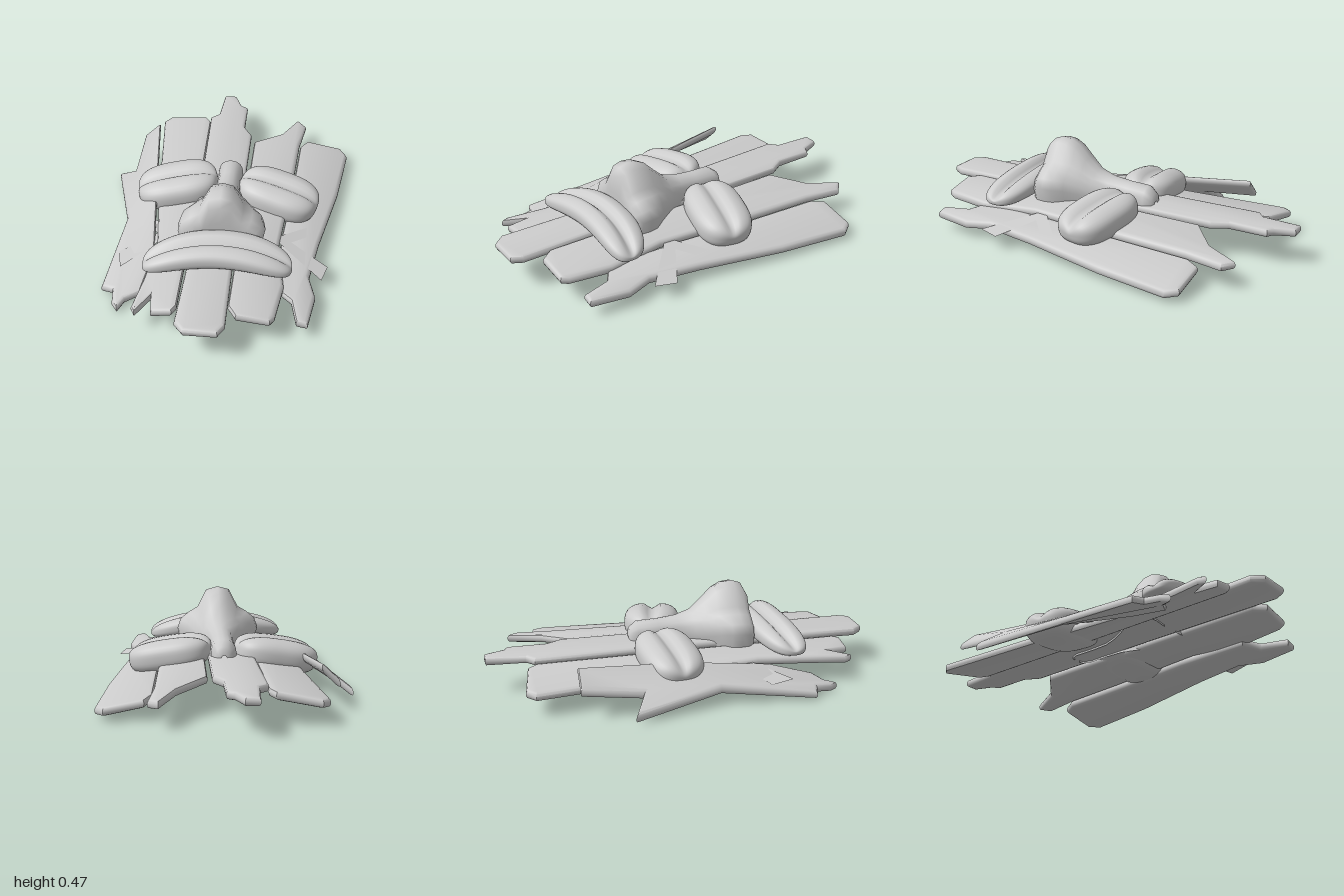
import * as THREE from 'three';
import { mergeVertices, toCreasedNormals } from 'three/addons/utils/BufferGeometryUtils.js';

const material = new THREE.MeshStandardMaterial({ color: 0xcccccc, side: THREE.DoubleSide });

// Apply a rule to every vertex of a geometry
function deform(geo, rule) {
  const pos = geo.attributes.position;
  const v = new THREE.Vector3();
  for (let i = 0; i < pos.count; i++) {
    rule(v.fromBufferAttribute(pos, i));
    pos.setXYZ(i, v.x, v.y, v.z);
  }
  return geo;
}

// Join seams and recompute soft normals
function smooth(geo) {
  geo.deleteAttribute('uv');
  geo.deleteAttribute('normal');
  const g = mergeVertices(geo, 1e-4);
  g.computeVertexNormals();
  return g;
}

function addMesh(group, name, geo) {
  const mesh = new THREE.Mesh(geo, material);
  mesh.name = name;
  group.add(mesh);
}

const shapeFrom = (pts) => new THREE.Shape(pts.map(([x, z]) => new THREE.Vector2(x, -z)));

// Bevelled board from an (x, z) outline, lifted onto the curve height(x, z)
function plank(outline, height) {
  const geo = new THREE.ExtrudeGeometry(shapeFrom(outline), {
    depth: 0.012, bevelEnabled: true, bevelThickness: 0.016, bevelSize: 0.018, bevelOffset: -0.018, bevelSegments: 2,
  });
  geo.rotateX(-Math.PI / 2);
  deform(geo, (p) => { p.y += height(p.x, p.z) - 0.006; });
  return toCreasedNormals(geo, 0.8);
}

// Rounded cushion with a crease along its upper side
function cushion(hx, hy, hz, crease) {
  const geo = new THREE.SphereGeometry(1, 40, 40).rotateZ(Math.PI / 2);
  return deform(geo, (p) => {
    const n = 2.8;
    const r = (Math.abs(p.x) ** n + Math.abs(p.y) ** n + Math.abs(p.z) ** n) ** (1 / n);
    p.divideScalar(r);
    const dent = p.y > 0 ? crease * Math.exp(-((p.z / 0.2) ** 2)) * p.y : 0;
    p.set(p.x * hx, p.y * hy - dent, p.z * hz);
  });
}

// Nose lofted along z: each station is [z, half width, top, nostril amount]
function noseGeometry() {
  const stations = [
    [-0.255, 0.02, 0.22, 0], [-0.25, 0.045, 0.265, 0], [-0.21, 0.065, 0.295, 0], [-0.1, 0.062, 0.3, 0],
    [0, 0.068, 0.31, 0], [0.08, 0.1, 0.335, 0.2], [0.14, 0.135, 0.39, 0.5], [0.2, 0.175, 0.45, 0.85],
    [0.25, 0.212, 0.475, 1], [0.3, 0.22, 0.48, 1], [0.345, 0.215, 0.465, 1], [0.37, 0.19, 0.42, 0.9],
    [0.375, 0.14, 0.33, 0.5], [0.365, 0.05, 0.22, 0],
  ];
  const round = [[0, 1], [0.4, 0.97], [0.75, 0.85], [0.92, 0.7], [1, 0.5], [1, 0.3], [0.9, 0]];
  const lobed = [[0, 1], [0.28, 0.95], [0.5, 0.66], [0.7, 0.58], [0.92, 0.46], [1, 0.3], [0.9, 0]];
  const base = 0.155, cols = 13;
  const pos = [], index = [];
  stations.forEach(([z, w, top, k], row) => {
    for (let i = -6; i <= 6; i++) {
      const a = round[Math.abs(i)], b = lobed[Math.abs(i)];
      const fx = a[0] + (b[0] - a[0]) * k, fy = a[1] + (b[1] - a[1]) * k;
      pos.push(Math.sign(i) * fx * w, base + fy * (top - base), z);
    }
    if (row === 0) return;
    for (let i = 0; i < cols - 1; i++) {
      const p = (row - 1) * cols + i, q = p + cols;
      index.push(p, q, p + 1, p + 1, q, q + 1);
    }
  });
  const geo = new THREE.BufferGeometry();
  geo.setAttribute('position', new THREE.Float32BufferAttribute(pos, 3));
  geo.setIndex(index);
  geo.computeVertexNormals();
  return geo;
}

export function createModel() {
  const group = new THREE.Group();

  // Five splintered boards, bowed down to both sides
  addMesh(group, 'centrePlank', plank([
    [-0.155, 0.94], [-0.11, 0.995], [0.05, 0.995], [0.08, 0.94], [0.075, 0.2], [0.08, -0.6], [0.035, -0.68],
    [0.035, -0.88], [0, -0.9], [-0.04, -1], [-0.11, -1], [-0.125, -0.8], [-0.17, -0.76], [-0.155, -0.1], [-0.145, 0.6],
  ], () => 0.187));
  addMesh(group, 'innerRightPlank', plank([
    [-0.16, 0.81], [-0.18, 0.845], [-0.28, 0.845], [-0.295, 0.73], [-0.36, 0.84], [-0.38, 0.8], [-0.35, 0.62],
    [-0.32, 0.35], [-0.38, -0.1], [-0.45, -0.79], [-0.41, -0.835], [-0.2, -0.8], [-0.17, -0.75], [-0.16, 0],
  ], (x) => 0.19 + 0.16 * x));
  addMesh(group, 'innerLeftPlank', plank([
    [0.12, 0.86], [0.08, 0.8], [0.09, 0.1], [0.1, -0.55], [0.25, -0.68], [0.335, -0.85], [0.385, -0.8],
    [0.355, -0.6], [0.335, -0.25], [0.29, 0.3], [0.33, 0.6], [0.3, 0.82], [0.28, 0.855],
  ], (x) => 0.19 - 0.16 * x));
  addMesh(group, 'outerLeftPlank', plank([
    [0.4, -0.69], [0.59, -0.69], [0.63, -0.63], [0.58, -0.25], [0.49, 0.2], [0.45, 0.47], [0.485, 0.6], [0.455, 0.8],
    [0.4, 0.8], [0.37, 0.66], [0.29, 0.6], [0.3, 0.2], [0.335, -0.2], [0.36, -0.62],
  ], (x) => 0.115 - 0.2 * (x - 0.33)));
  // The last board is twisted, its back end turned up
  addMesh(group, 'outerRightPlank', plank([
    [-0.53, -0.59], [-0.44, -0.59], [-0.38, -0.05], [-0.33, 0.4], [-0.37, 0.62], [-0.44, 0.66], [-0.47, 0.72],
    [-0.5, 0.68], [-0.51, 0.6], [-0.57, 0.58], [-0.52, 0.1], [-0.64, -0.35], [-0.54, -0.29],
  ], (x, z) => 0.135 - 0.14 * z + (0.55 - 0.7 * z) * (x + 0.46)));

  // Eyes: creased cushions, each turned a little differently
  for (const [name, x, z, yaw, roll] of [
    ['rightEye', -0.275, -0.105, 0.14, 0.18],
    ['leftEye', 0.265, -0.07, -0.24, -0.18],
  ]) {
    const geo = cushion(0.215, 0.088, 0.148, 0.035);
    geo.rotateZ(roll).rotateY(yaw).translate(x, 0.195, z);
    addMesh(group, name, smooth(geo));
  }

  // Mouth: long cushion bent into a frown and over the bow
  const mouth = cushion(0.365, 0.058, 0.115, 0.04);
  deform(mouth, (p) => {
    p.z = p.z * (1 + 0.9 * p.x * p.x) + 0.47 + 0.38 * p.x * p.x - 0.04 * p.x;
    p.y += 0.25 - 0.45 * p.x * p.x;
  });
  addMesh(group, 'mouth', smooth(mouth));

  addMesh(group, 'nose', noseGeometry());

  // Flat chevrons on the cheeks
  const marks = {
    rightCheekMark: [[-0.445, 0.06], [-0.24, 0.24], [-0.49, 0.48], [-0.52, 0.36], [-0.335, 0.245], [-0.47, 0.12]],
    leftCheekMark: [[0.46, 0.07], [0.26, 0.25], [0.51, 0.48], [0.54, 0.37], [0.35, 0.25], [0.48, 0.13]],
  };
  for (const [name, pts] of Object.entries(marks)) {
    const geo = new THREE.ShapeGeometry(shapeFrom(pts)).rotateX(-Math.PI / 2);
    deform(geo, (p) => { p.y = 0.16 - 0.24 * (Math.abs(p.x) - 0.25); });
    geo.computeVertexNormals();
    addMesh(group, name, geo);
  }
  return group;
}
